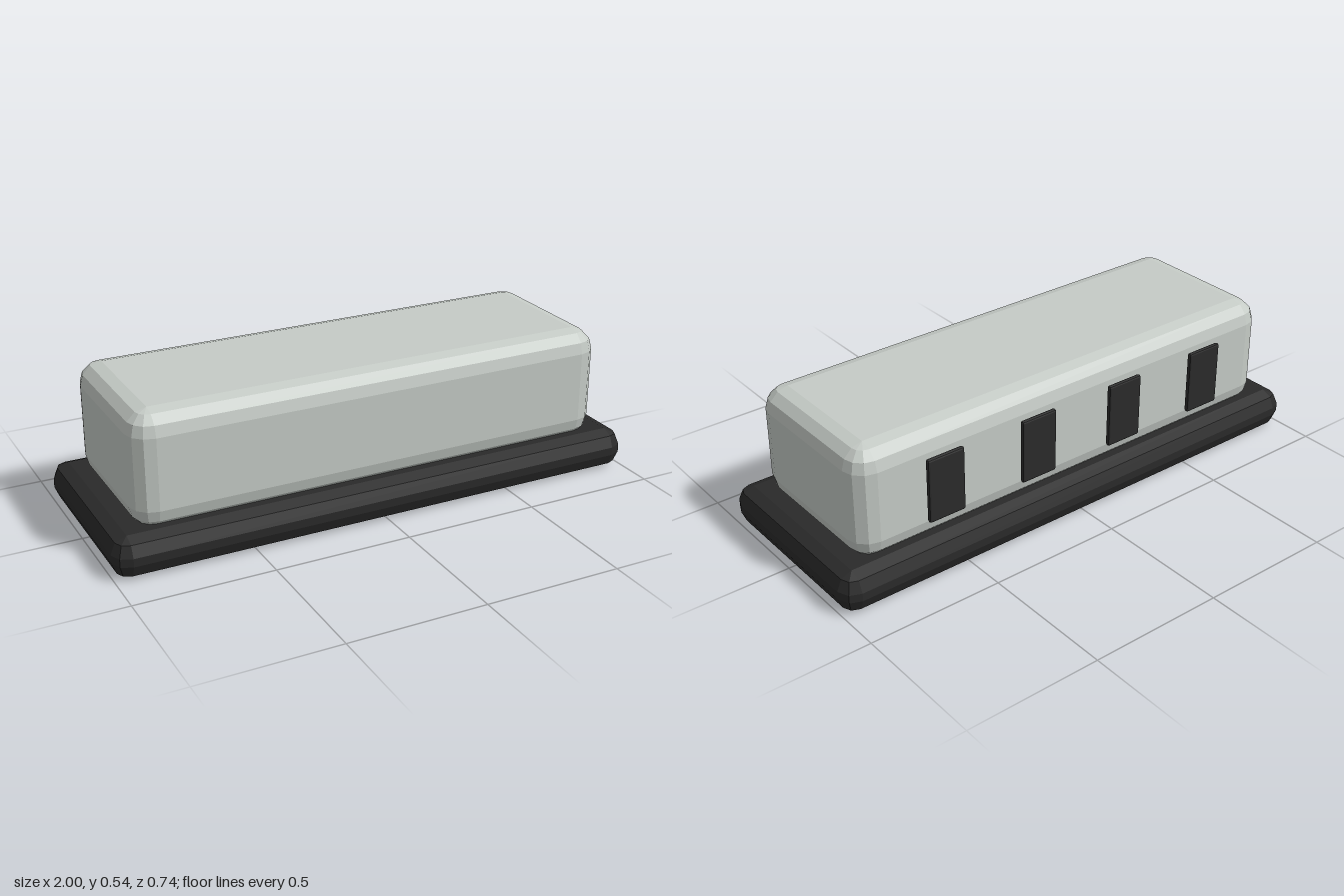
import * as THREE from 'three';

// Faceted box with bevelled edges: stacked rounded-rectangle rings, closed by flat caps.
function bevelBox(w, h, d, r, steps) {
  const rings = [];
  for (const side of [-1, 1]) {
    for (let i = 0; i <= steps; i++) {
      const phi = (side < 0 ? i - steps : i) / steps * Math.PI / 2;
      const ring = [];
      for (let q = 0; q < 4; q++) {
        const sx = q === 0 || q === 3 ? 1 : -1;
        const sz = q < 2 ? 1 : -1;
        for (let j = 0; j <= steps; j++) {
          const a = (q + j / steps) * Math.PI / 2;
          ring.push(new THREE.Vector3(
            sx * (w / 2 - r) + r * Math.cos(phi) * Math.cos(a),
            side * (h / 2 - r) + r * Math.sin(phi),
            sz * (d / 2 - r) + r * Math.cos(phi) * Math.sin(a)));
        }
      }
      rings.push(ring);
    }
  }
  const points = [];
  const tri = (a, b, c) => {
    if (new THREE.Triangle(a, b, c).getArea() > 1e-9) points.push(a, b, c);
  };
  const n = rings[0].length;
  for (let i = 0; i < rings.length - 1; i++) {
    for (let j = 0; j < n; j++) {
      const k = (j + 1) % n;
      const [lo, hi] = [rings[i], rings[i + 1]];
      tri(lo[j], hi[j], lo[k]);
      tri(lo[k], hi[j], hi[k]);
    }
  }
  const bottom = rings[0], top = rings[rings.length - 1];
  for (let j = 1; j < n - 1; j++) {
    tri(bottom[0], bottom[j], bottom[j + 1]);
    tri(top[0], top[j + 1], top[j]);
  }
  const geometry = new THREE.BufferGeometry().setFromPoints(points);
  geometry.computeVertexNormals(); // unshared corners keep every facet flat
  return geometry;
}

export function createModel() {
  const model = new THREE.Group();
  const paleGrey = new THREE.MeshStandardMaterial({ color: 0xc5cbc6 });
  paleGrey.name = 'paleGrey';
  const charcoal = new THREE.MeshStandardMaterial({ color: 0x2a2a2a });
  charcoal.name = 'charcoal';

  const add = (name, geometry, material, x, y, z) => {
    const mesh = new THREE.Mesh(geometry, material);
    mesh.name = name;
    mesh.position.set(x, y, z);
    model.add(mesh);
  };

  // Wide dark plinth and the pale block sunk slightly into it
  add('base', bevelBox(2, 0.146, 0.742, 0.058, 2), charcoal, 0, 0.073, 0);
  add('body', bevelBox(1.803, 0.42, 0.614, 0.08, 3), paleGrey, 0, 0.331, 0);

  // Four upright plates standing just off the back
  const plate = bevelBox(0.145, 0.24, 0.018, 0.007, 2);
  for (let i = 0; i < 4; i++) {
    add('backPlate' + (i + 1), plate, charcoal, (i - 1.5) * 0.385, 0.332, -0.329);
  }
  return model;
}
